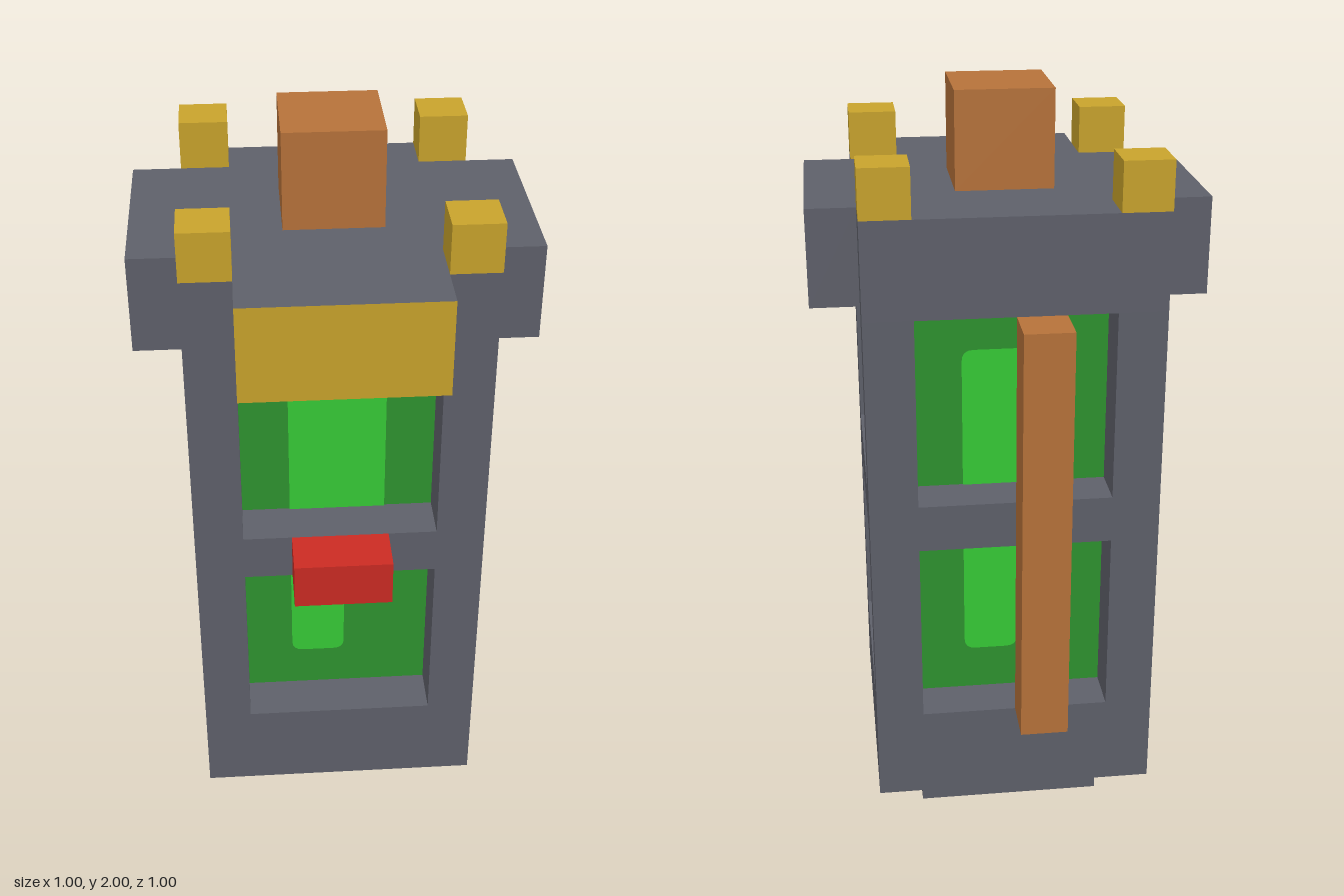
import * as THREE from 'three';

const material = (name, color) => {
  const m = new THREE.MeshStandardMaterial({ color });
  m.name = name;
  return m;
};

export function createModel() {
  const metal = material('grey metal', 0x5e606a);
  const gold = material('gold', 0xc8a32c);
  const copper = material('copper', 0xb6723a);
  const red = material('red', 0xcb2b23);
  const darkGreen = material('dark green glass', 0x2e932f);
  const lightGreen = material('bright green fluid', 0x36cb36);

  const model = new THREE.Group();
  model.name = 'canister';

  // Box given by its minimum and maximum corners
  const box = (name, mat, [x0, y0, z0], [x1, y1, z1]) => {
    const mesh = new THREE.Mesh(new THREE.BoxGeometry(x1 - x0, y1 - y0, z1 - z0), mat);
    mesh.position.set((x0 + x1) / 2, (y0 + y1) / 2, (z0 + z1) / 2);
    mesh.name = name;
    model.add(mesh);
  };

  // Foot and the three full-width slabs of the frame
  box('foot', metal, [-0.25, 0, -0.25], [0.25, 0.125, 0.25]);
  box('lowerSlab', metal, [-0.375, 0.125, -0.375], [0.375, 0.375, 0.375]);
  box('middleBand', metal, [-0.375, 0.875, -0.375], [0.375, 1, 0.375]);
  box('upperSlab', metal, [-0.375, 1.5, -0.375], [0.375, 1.75, 0.375]);

  // Corner posts between the slabs, with a gold stud on top of each
  for (const sx of [-1, 1]) {
    for (const sz of [-1, 1]) {
      const x = sx * 0.3125, z = sz * 0.3125, h = 0.0625;
      for (const [y0, y1] of [[0.375, 0.875], [1, 1.5]]) {
        box('cornerPost', metal, [x - h, y0, z - h], [x + h, y1, z + h]);
      }
      box('cornerStud', gold, [x - h, 1.75, z - h], [x + h, 1.875, z + h]);
    }
  }

  // Lugs on both sides and the gold-faced plate in front
  box('leftLug', metal, [0.375, 1.5, -0.25], [0.5, 1.75, 0.25]);
  box('rightLug', metal, [-0.5, 1.5, -0.25], [-0.375, 1.75, 0.25]);
  box('frontPlate', [gold, gold, metal, metal, gold, gold], [-0.25, 1.5, 0.375], [0.25, 1.75, 0.5]);

  // Cap, back pipe and front button
  box('topCap', copper, [-0.125, 1.75, -0.125], [0.125, 2, 0.125]);
  box('backPipe', copper, [-0.125, 0.375, -0.5], [0, 1.5, -0.375]);
  box('button', red, [-0.125, 0.875, 0.375], [0.125, 1, 0.5]);

  // Glass core behind the windows
  box('glassCore', darkGreen, [-0.25, 0.375, -0.25], [0.25, 1.5, 0.25]);

  // Bright fluid patch with softened corners and a step at the lower right
  const fluidShape = (stepX, stepY) => {
    const r = 0.03;
    const corners = [[-0.125, 0.5], [stepX, 0.5], [stepX, stepY], [0.125, stepY], [0.125, 1.375], [-0.125, 1.375]]
      .map(([x, y]) => new THREE.Vector2(x, y));
    const shape = new THREE.Shape();
    corners.forEach((c, i) => {
      const prev = corners[(i + 5) % 6], next = corners[(i + 1) % 6];
      const a = c.clone().add(prev.clone().sub(c).setLength(r));
      const b = c.clone().add(next.clone().sub(c).setLength(r));
      if (i === 0) shape.moveTo(a.x, a.y);
      else shape.lineTo(a.x, a.y);
      shape.quadraticCurveTo(c.x, c.y, b.x, b.y);
    });
    shape.closePath();
    return shape;
  };

  ['front', 'left', 'back', 'right'].forEach((side, i) => {
    const shape = i % 2 ? fluidShape(0, 0.625) : fluidShape(0.02, 0.72);
    const geometry = new THREE.ShapeGeometry(shape, 4).translate(0, 0, 0.254);
    const fluid = new THREE.Mesh(geometry, lightGreen);
    fluid.rotation.y = i * Math.PI / 2;
    fluid.name = side + 'Fluid';
    model.add(fluid);
  });

  return model;
}
